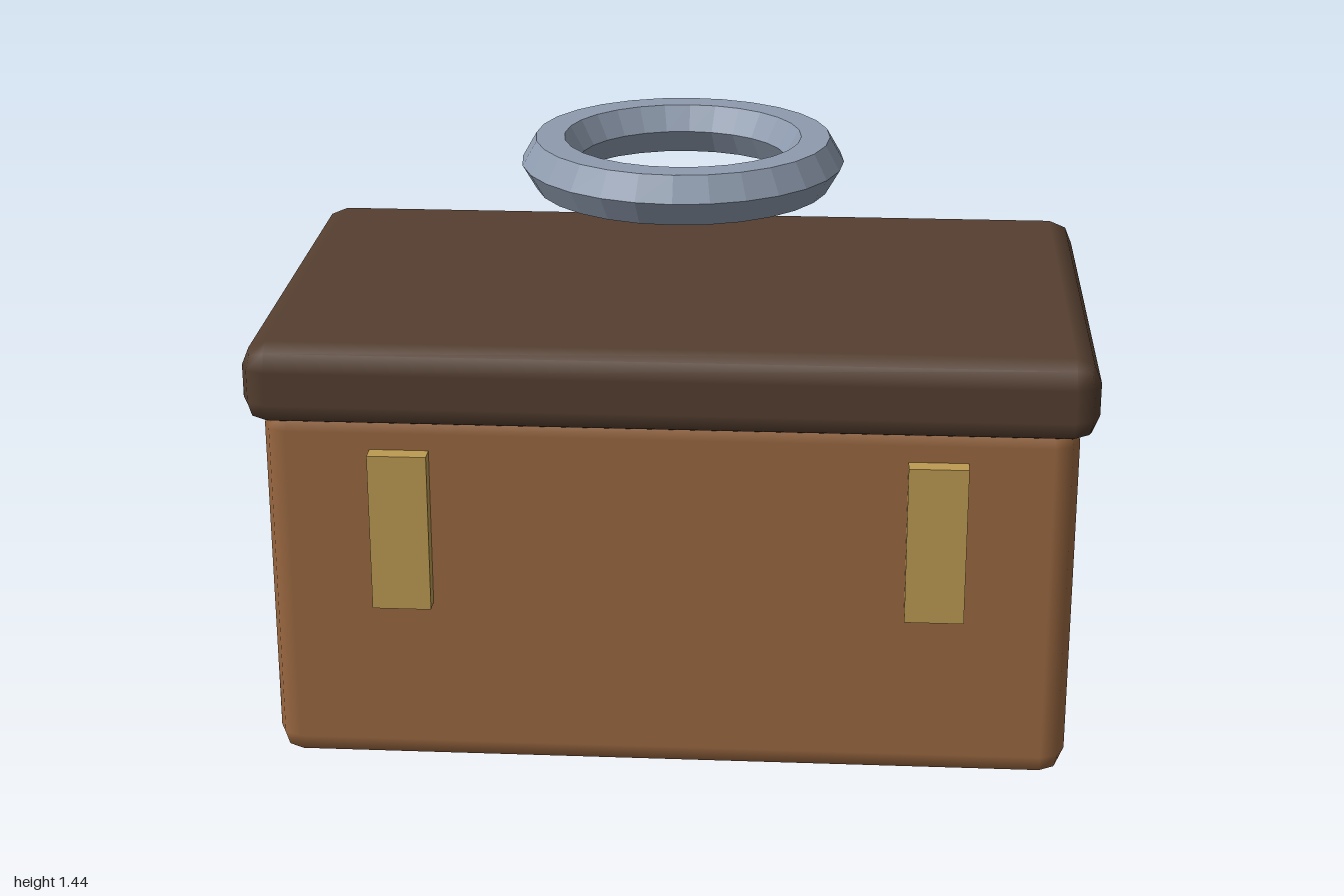
import * as THREE from 'three';
import { RoundedBoxGeometry } from 'three/addons/geometries/RoundedBoxGeometry.js';

export function createModel() {
  const model = new THREE.Group();
  model.name = 'chest';
  const zMid = -0.006; // chest sits slightly back to make room for the latches

  const wood = new THREE.MeshStandardMaterial({ color: 0x9a6841 });
  const darkWood = new THREE.MeshStandardMaterial({ color: 0x553f30 });
  const brass = new THREE.MeshStandardMaterial({ color: 0xbd9a52 });
  const steel = new THREE.MeshStandardMaterial({ color: 0x8f9caf, flatShading: true });

  function add(name, geometry, material, x, y, z) {
    const mesh = new THREE.Mesh(geometry, material);
    mesh.name = name;
    mesh.position.set(x, y, z);
    model.add(mesh);
    return mesh;
  }

  // Body and overhanging lid, both with two-step rounded edges
  add('body', new RoundedBoxGeometry(1.92, 0.92, 1.14, 1, 0.06), wood, 0, 0.46, zMid);
  add('lid', new RoundedBoxGeometry(2, 0.2, 1.2, 1, 0.06), darkWood, 0, 0.975, zMid);

  // Pair of front latches, set into the body
  for (const side of [-1, 1]) {
    add(side > 0 ? 'leftLatch' : 'rightLatch',
      new THREE.BoxGeometry(0.14, 0.39, 0.08), brass, side * 0.632, 0.625, 0.567);
  }

  // Six-sided ring handle floating above the lid
  const ring = add('ringHandle', new THREE.TorusGeometry(0.325, 0.07, 6, 28), steel, 0, 1.38, zMid);
  ring.rotation.x = Math.PI / 2;

  return model;
}
